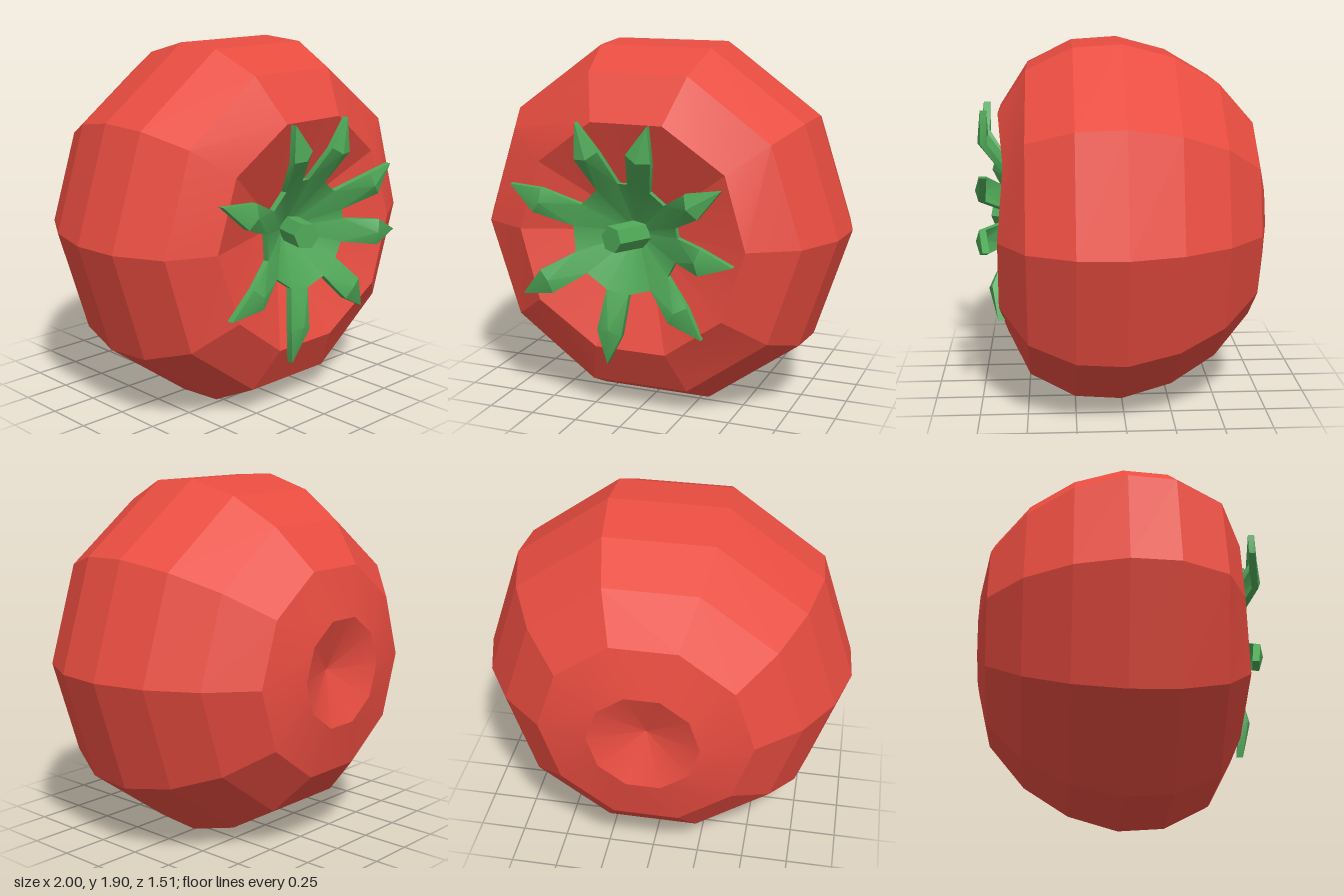
import * as THREE from 'three';
import { toCreasedNormals } from 'three/addons/utils/BufferGeometryUtils.js';

const CENTRE_Y = 0.951;
const red = new THREE.MeshStandardMaterial({ color: 0xe84c40 });
const green = new THREE.MeshStandardMaterial({ color: 0x4fa858 });

// Ten-sided fruit lathed around z, with a dimple at both ends
function createFruit() {
  const profile = [
    [0, -0.65], [0.29, -0.76], [0.555, -0.7], [0.777, -0.51], [0.925, -0.27],
    [1, 0], [0.983, 0.25], [0.86, 0.49], [0.62, 0.63], [0, 0.38],
  ].map(([r, z]) => new THREE.Vector2(r, z));
  const geo = new THREE.LatheGeometry(profile, 10, Math.PI / 2);
  geo.rotateX(Math.PI / 2);

  // Slightly wavy rim around the front dimple
  const rimZ = [0.635, 0.605, 0.64, 0.64, 0.605, 0.6, 0.63, 0.61, 0.61, 0.64];
  const pos = geo.attributes.position;
  for (let i = 0; i <= 10; i++) pos.setZ(i * profile.length + 8, rimZ[i % 10]);

  const mesh = new THREE.Mesh(toCreasedNormals(geo, 0.23), red);
  mesh.name = 'fruit';
  return mesh;
}

// Star-shaped calyx: a dished hub with eight bent, pointed sepals
function createCalyx() {
  // Sepal tips, counter-clockwise, relative to the fruit's axis
  const tips = [
    [0.58, -0.06, 0.71], [0.52, 0.31, 0.72], [0.15, 0.6, 0.735], [-0.23, 0.6, 0.735],
    [-0.64, 0.25, 0.66], [-0.58, -0.33, 0.66], [-0.12, -0.67, 0.63], [0.4, -0.47, 0.65],
  ];
  const hub = new THREE.Vector3(-0.02, 0, 0.45);
  const sepals = tips.map(([x, y, z]) => {
    const dir = new THREE.Vector2(x - hub.x, y - hub.y);
    const length = dir.length();
    dir.normalize();
    const at = (r, side, h) =>
      new THREE.Vector3(hub.x + dir.x * r - dir.y * side, hub.y + dir.y * r + dir.x * side, h);
    const bend = length * 0.73;
    const bendZ = Math.min(z + 0.05, 0.755);
    return {
      baseR: at(0.28, -0.062, 0.62), baseL: at(0.28, 0.062, 0.62),
      bendR: at(bend, -0.068, bendZ - 0.02), bendL: at(bend, 0.068, bendZ - 0.02),
      ridge: at(bend - 0.02, 0, bendZ), tip: at(length, 0, z),
    };
  });

  const points = [];
  const below = (p) => new THREE.Vector3(p.x, p.y, p.z - 0.035);
  const face = (a, b, c) => points.push(a, b, c, below(a), below(c), below(b));
  const wall = (a, b) => points.push(a, below(a), below(b), a, below(b), b);

  sepals.forEach((s, i) => {
    const next = sepals[(i + 1) % sepals.length];
    face(hub, s.baseR, s.baseL);
    face(hub, s.baseL, next.baseR);
    face(s.baseR, s.bendR, s.ridge);
    face(s.baseR, s.ridge, s.baseL);
    face(s.baseL, s.ridge, s.bendL);
    face(s.bendR, s.tip, s.ridge);
    face(s.ridge, s.tip, s.bendL);
    const outline = [s.baseR, s.bendR, s.tip, s.bendL, s.baseL, next.baseR];
    for (let k = 0; k < outline.length - 1; k++) wall(outline[k], outline[k + 1]);
  });

  const geo = new THREE.BufferGeometry().setFromPoints(points);
  const mesh = new THREE.Mesh(toCreasedNormals(geo, 0.45), green);
  mesh.name = 'calyx';
  return mesh;
}

// Short six-sided stem leaning to one side
function createStem() {
  const from = new THREE.Vector3(0.04, 0, 0.4);
  const to = new THREE.Vector3(-0.07, 0.01, 0.67);
  const axis = to.clone().sub(from);
  const geo = new THREE.CylinderGeometry(0.07, 0.075, axis.length(), 6);
  const mesh = new THREE.Mesh(toCreasedNormals(geo, 0.5), green);
  mesh.position.copy(from).add(to).multiplyScalar(0.5);
  mesh.quaternion.setFromUnitVectors(new THREE.Vector3(0, 1, 0), axis.normalize());
  mesh.name = 'stem';
  return mesh;
}

export function createModel() {
  const model = new THREE.Group();
  model.name = 'tomato';
  for (const part of [createFruit(), createCalyx(), createStem()]) {
    part.position.y += CENTRE_Y;
    model.add(part);
  }
  return model;
}
